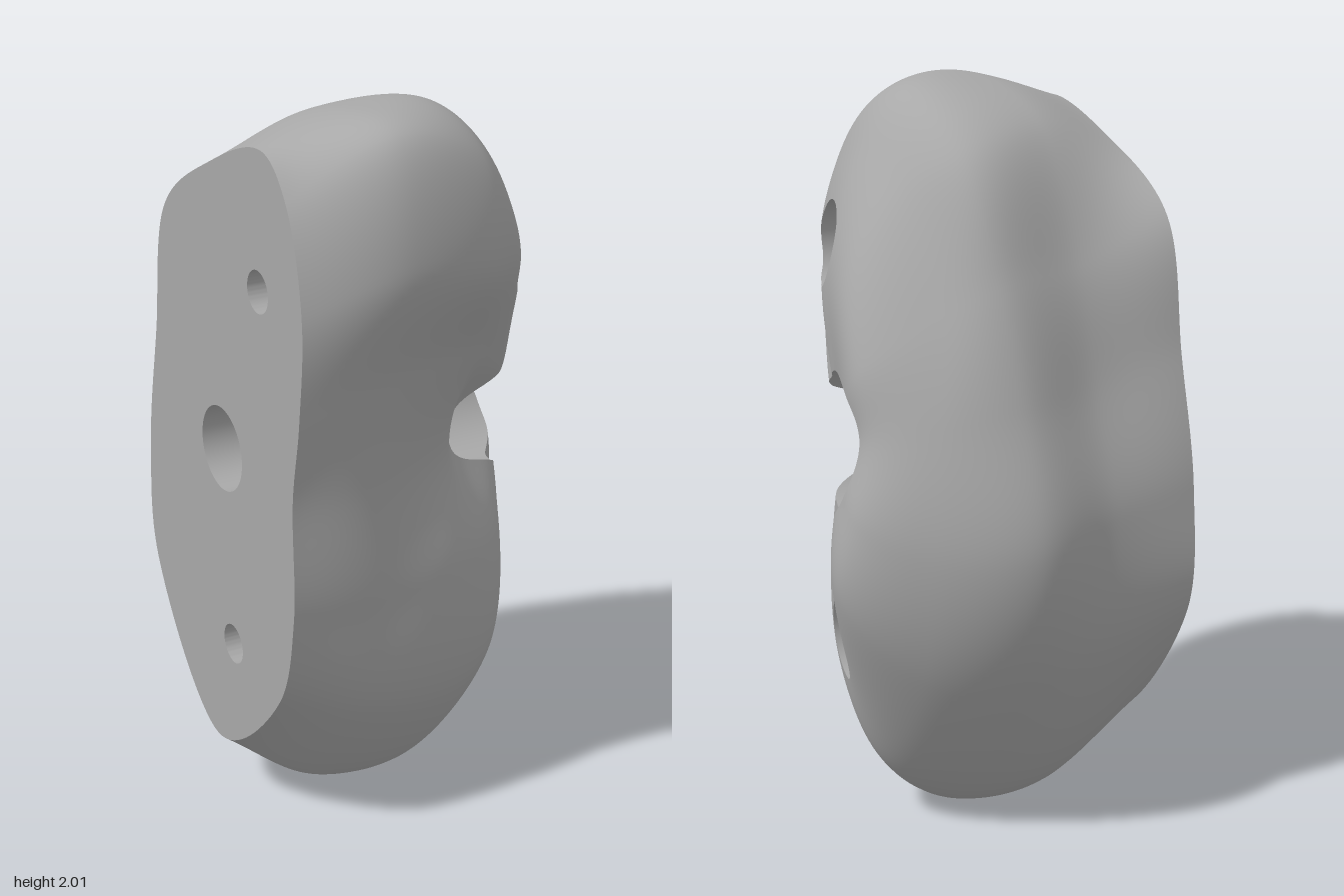
import * as THREE from 'three';
import { toCreasedNormals } from 'three/addons/utils/BufferGeometryUtils.js';

const BACK = -0.47, MIDDLE = 0.05, ROWS = 80, COLS = 208;
const POLE = new THREE.Vector3(.34, 1.085, 0);

// One line per meridian, running top, front, bottom, back:
// back outline y z | swell behind the middle | middle y z | shoulder x y z | x near the pole
const meridians = [
  [1.93, .27, .05, 1.975, .18, .2, 1.8, .17, .32],
  [1.83, .38, .12, 1.89, .41, .18, 1.74, .34, .29],
  [1.57, .45, .085, 1.63, .48, .21, 1.58, .35, .28],
  [1.3, .43, .05, 1.36, .36, .17, 1.3, .26, .29],
  [1.08, .39, .06, 1.08, .27, .12, 1.08, .17, .24],
  [.75, .385, .02, .75, .335, .25, .76, .2, .3],
  [.48, .3, .04, .34, .28, .25, .4, .19, .315],
  [.2, -.08, .095, .02, -.02, .255, .19, -.03, .36],
  [.6, -.44, .01, .45, -.4, .28, .5, -.32, .462],
  [.95, -.455, -.02, .85, -.525, .3, .85, -.4, .44],
  [1.3, -.385, -.04, 1.22, -.43, .25, 1.18, -.36, .385],
  [1.66, -.305, -.05, 1.52, -.32, .2, 1.45, -.27, .385],
  [1.84, -.03, .05, 1.84, -.15, .2, 1.74, -.05, .355],
];

// Bolt holes, all bored along x: wide bore down to a floor, then a narrow through hole
const bores = [
  { name: 'upperBore', y: 1.575, z: .225, r: .115, lip: .07, inner: .055, floor: .13 },
  { name: 'middleBore', y: 1.085, z: 0, r: .19, lip: .115, inner: .115, floor: .03 },
  { name: 'lowerBore', y: .53, z: .035, r: .115, lip: .07, inner: .055, floor: .21 },
];

// Smooth curve from the mounting face to the pole
function meridianCurve([backY, backZ, swell, midY, midZ, x, y, z, nearX]) {
  const back = new THREE.Vector3(BACK, backY, backZ);
  const middle = new THREE.Vector3(MIDDLE, midY, midZ);
  const shoulder = new THREE.Vector3(x, y, z);
  const waist = back.clone().lerp(middle, .5);
  const outward = waist.clone().sub(POLE).setX(0).normalize();
  waist.addScaledVector(outward, swell);
  const near = shoulder.clone().lerp(POLE, .4).setX(nearX);
  return new THREE.CatmullRomCurve3([back, waist, middle, shoulder, near, POLE]);
}

// Closed loops across the meridians, from the back outline inwards
function surfaceRows() {
  const curves = meridians.map(meridianCurve);
  return Array.from({ length: ROWS + 1 }, (_, i) => {
    const loop = new THREE.CatmullRomCurve3(curves.map(c => c.getPoint(.97 * i / ROWS)), true);
    return Array.from({ length: COLS }, (_, j) => loop.getPoint(j / COLS));
  });
}

// Keep the part of a polygon outside one bore; collect the cut edge
function clip(poly, bore, cut) {
  const side = q => Math.hypot(q.p.y - bore.y, q.p.z - bore.z) - bore.r;
  const out = [], ends = [];
  poly.forEach((a, i) => {
    const b = poly[(i + 1) % poly.length], da = side(a), db = side(b);
    if (da >= 0) out.push(a);
    if ((da >= 0) !== (db >= 0)) {
      const t = da / (da - db);
      const q = { p: a.p.clone().lerp(b.p, t), n: a.n.clone().lerp(b.n, t).normalize() };
      out.push(q);
      ends.push(q.p);
    }
  });
  if (ends.length === 2) cut.push(ends);
  return out;
}

function geometryFrom(pos, nor) {
  const g = new THREE.BufferGeometry();
  g.setAttribute('position', new THREE.Float32BufferAttribute(pos, 3));
  g.setAttribute('normal', new THREE.Float32BufferAttribute(nor, 3));
  return g;
}

// Rounded body with the bore openings trimmed out
function bodyGeometry(rows, cuts) {
  const index = [];
  for (let i = 0; i < ROWS; i++) for (let j = 0; j < COLS; j++) {
    const a = i * COLS + j, b = i * COLS + (j + 1) % COLS;
    index.push(a, b, b + COLS, a, b + COLS, a + COLS);
  }
  const points = rows.flat();
  const grid = new THREE.BufferGeometry().setFromPoints(points);
  grid.setIndex(index);
  grid.computeVertexNormals();
  const normals = grid.getAttribute('normal');
  const verts = points.map((p, i) => ({ p, n: new THREE.Vector3().fromBufferAttribute(normals, i) }));
  const pos = [], nor = [];
  for (let i = 0; i < index.length; i += 3) {
    let poly = [verts[index[i]], verts[index[i + 1]], verts[index[i + 2]]];
    bores.forEach((bore, k) => { poly = clip(poly, bore, cuts[k]); });
    for (let k = 1; k + 1 < poly.length; k++) for (const q of [poly[0], poly[k], poly[k + 1]]) {
      pos.push(q.p.x, q.p.y, q.p.z);
      nor.push(q.n.x, q.n.y, q.n.z);
    }
  }
  return geometryFrom(pos, nor);
}

// Bore wall from the trimmed rim down to the floor, facing the bore axis
function wallGeometry(bore, cut) {
  const pos = [], nor = [];
  for (let [a, b] of cut) {
    const turn = (a.y - bore.y) * (b.z - bore.z) - (a.z - bore.z) * (b.y - bore.y);
    if (turn < 0) [a, b] = [b, a];
    const a2 = a.clone().setX(bore.floor), b2 = b.clone().setX(bore.floor);
    for (const p of [a, a2, b2, a, b2, b]) {
      pos.push(p.x, p.y, p.z);
      nor.push(0, (bore.y - p.y) / bore.r, (bore.z - p.z) / bore.r);
    }
  }
  return geometryFrom(pos, nor);
}

// Floor ring, small step and through hole
function throughGeometry({ y, z, r, lip, inner, floor }) {
  const step = lip > inner ? [[inner, floor - .04], [lip, floor - .04]] : [];
  const profile = [[inner, BACK], ...step, [lip, floor], [r, floor]].map(p => new THREE.Vector2(...p));
  const g = new THREE.LatheGeometry(profile, 64).rotateZ(-Math.PI / 2).translate(0, y, z);
  return toCreasedNormals(g, .6);
}

// Flat mounting face with the three holes
function mountGeometry(outline) {
  const shape = new THREE.Shape(outline.map(p => new THREE.Vector2(p.z, p.y)));
  for (const b of bores) shape.holes.push(new THREE.Path().absarc(b.z, b.y, b.inner, 0, Math.PI * 2, true));
  return new THREE.ShapeGeometry(shape, 32).rotateY(-Math.PI / 2).translate(BACK, 0, 0);
}

export function createModel() {
  const grey = new THREE.MeshStandardMaterial({ color: 0xa8a8a8, side: THREE.DoubleSide });
  grey.name = 'stone grey';
  const group = new THREE.Group();
  group.name = 'climbingHold';
  const add = (name, geometry, parent = group) => {
    const mesh = new THREE.Mesh(geometry, grey);
    mesh.name = name;
    parent.add(mesh);
  };
  const rows = surfaceRows(), cuts = bores.map(() => []);
  add('body', bodyGeometry(rows, cuts));
  add('mountingFace', mountGeometry(rows[0]));
  bores.forEach((bore, k) => {
    const part = new THREE.Group();
    part.name = bore.name;
    add('boreWall', wallGeometry(bore, cuts[k]), part);
    add('throughHole', throughGeometry(bore), part);
    group.add(part);
  });
  return group;
}
